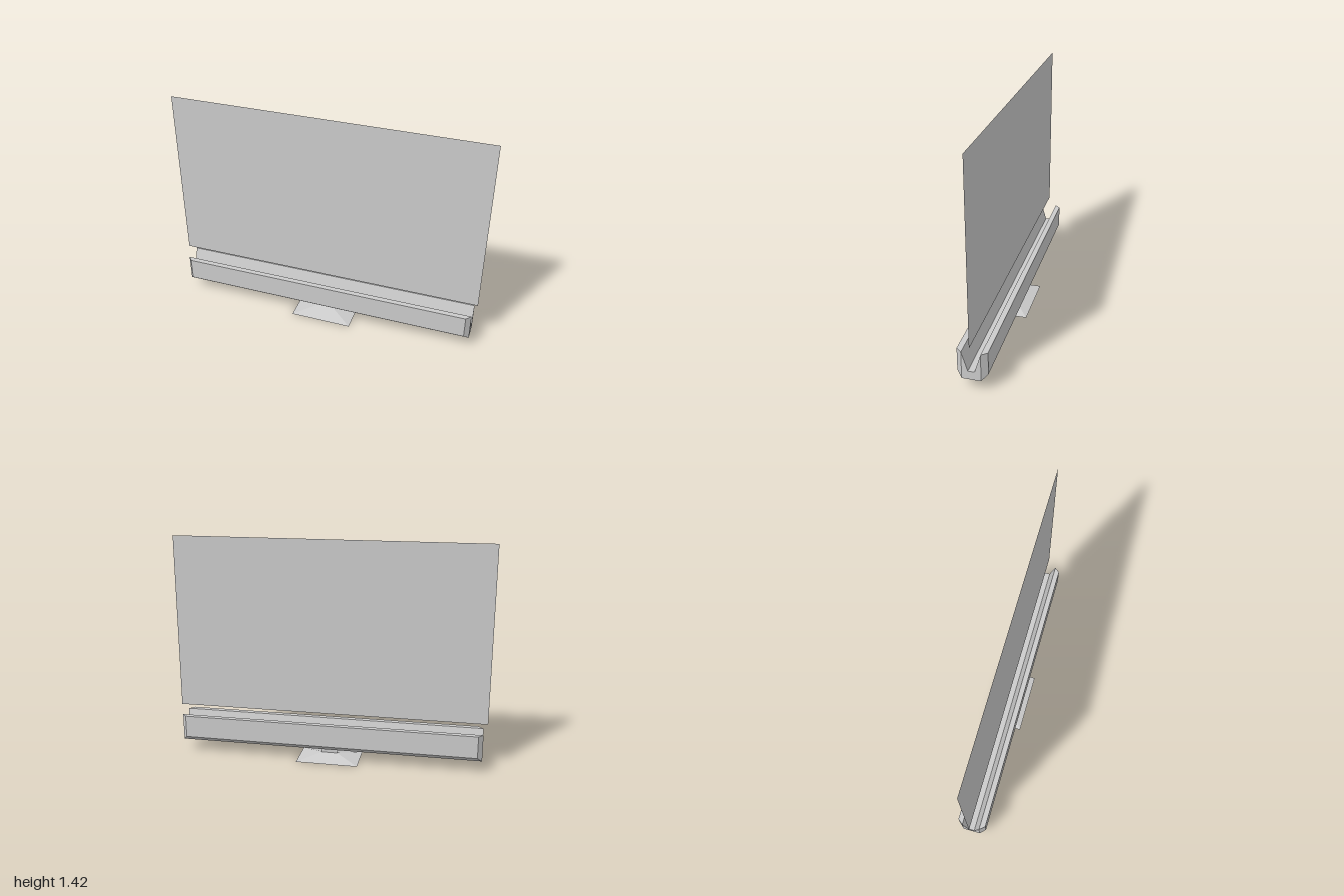
import * as THREE from 'three';

const grey = new THREE.MeshStandardMaterial({ color: 0xcccccc, flatShading: true });
const greyThin = new THREE.MeshStandardMaterial({ color: 0xcccccc, flatShading: true, side: THREE.DoubleSide });

// Joins counter-clockwise rings { at, pts } along +z and caps both ends.
function loft(rings) {
  const pos = [];
  const add = (ring, i) => pos.push(...ring.pts[i], ring.at);
  for (let r = 0; r + 1 < rings.length; r++) {
    const a = rings[r], b = rings[r + 1], n = a.pts.length;
    for (let i = 0; i < n; i++) {
      const j = (i + 1) % n;
      add(a, i); add(a, j); add(b, j);
      add(a, i); add(b, j); add(b, i);
    }
  }
  const cap = (ring, flip) => {
    const outline = ring.pts.map(([x, y]) => new THREE.Vector2(x, y));
    for (const [a, b, c] of THREE.ShapeUtils.triangulateShape(outline, [])) {
      for (const i of flip ? [a, c, b] : [a, b, c]) add(ring, i);
    }
  };
  cap(rings[0], true);
  cap(rings[rings.length - 1], false);
  const geo = new THREE.BufferGeometry();
  geo.setAttribute('position', new THREE.Float32BufferAttribute(pos, 3));
  geo.computeVertexNormals();
  return geo;
}

// U-shaped section of the trough; outer = half depth, bevelY = top of the lower bevel.
function troughSection(outer, bevelY) {
  const lip = 0.056, floor = 0.019, floorY = 0.13, bottom = 0.076, top = 0.25;
  return [
    [floor, floorY], [-floor, floorY], [-lip, top], [-outer, top], [-outer, bevelY],
    [-lip, bottom], [lip, bottom], [outer, bevelY], [outer, top], [lip, top],
  ];
}

function rectangle(w, d) {
  return [[-w, -d], [w, -d], [w, d], [-w, d]];
}

export function createModel() {
  const group = new THREE.Group();
  const part = (name, geo, material = grey) => {
    const mesh = new THREE.Mesh(geo, material);
    mesh.name = name;
    group.add(mesh);
    return mesh;
  };

  // Thin screen panel hovering above the trough
  part('screen', new THREE.PlaneGeometry(2, 1.12), greyThin).position.y = 0.86;

  // Grooved trough with bevelled ends and lower edges
  const end = troughSection(0.056, 0.076), full = troughSection(0.09, 0.107);
  part('trough', loft([
    { at: -0.975, pts: end }, { at: -0.945, pts: full },
    { at: 0.945, pts: full }, { at: 0.975, pts: end },
  ]).rotateY(Math.PI / 2));

  // Narrow stem
  part('stem', new THREE.BoxGeometry(0.104, 0.05, 0.007)).position.y = 0.056;

  // Sloped foot
  part('foot', loft([
    { at: 0, pts: rectangle(0.2, 0.117) },
    { at: 0.033, pts: rectangle(0.052, 0.0035) },
  ]).rotateX(-Math.PI / 2));

  return group;
}
